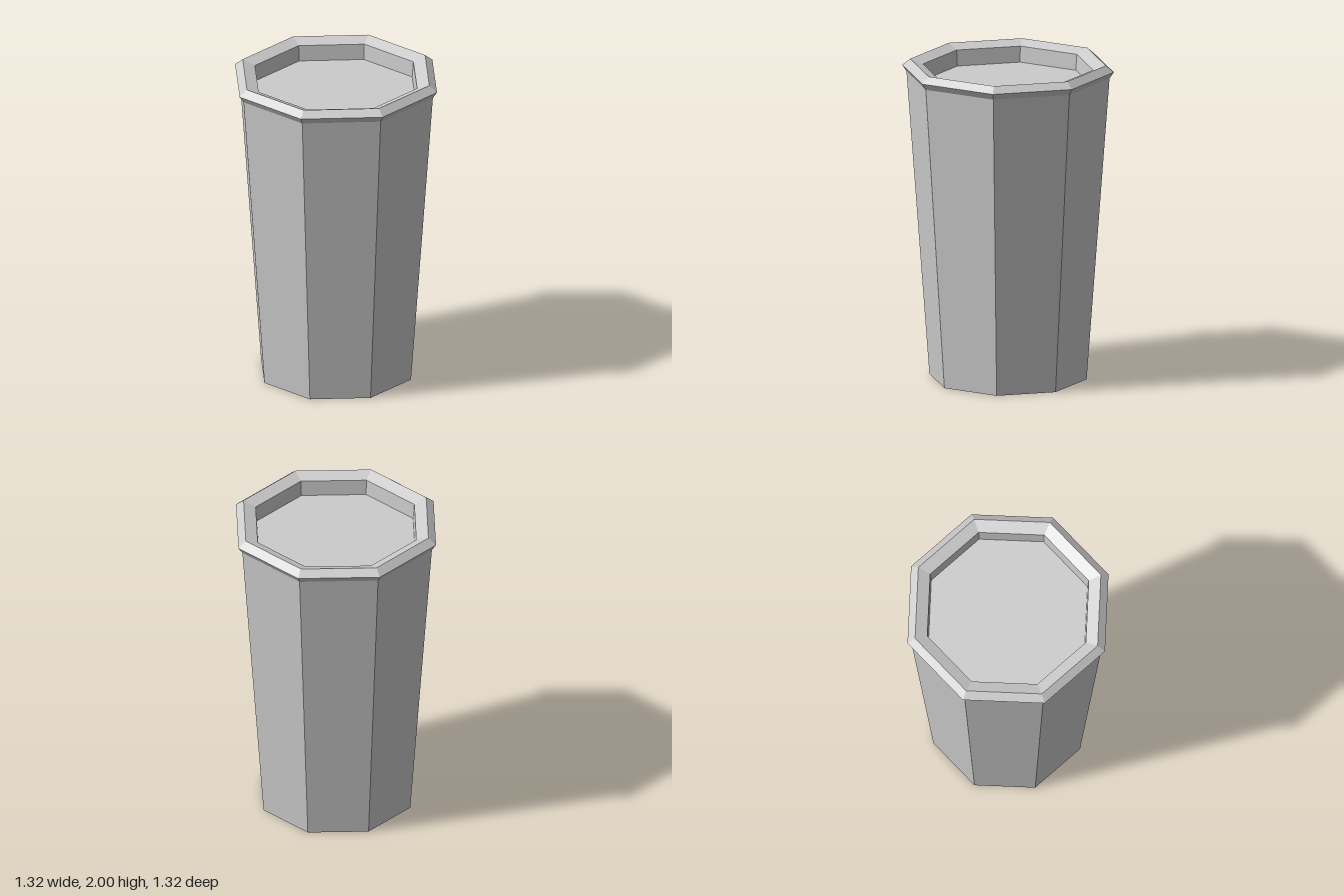
import * as THREE from 'three';

const SIDES = 8;
const material = new THREE.MeshStandardMaterial({ color: 0xcccccc, flatShading: true });

// Eight-sided turned part from a profile of [radius, height] pairs
function turned(name, profile) {
  const points = profile.map(([r, y]) => new THREE.Vector2(r, y));
  const mesh = new THREE.Mesh(new THREE.LatheGeometry(points, SIDES), material);
  mesh.name = name;
  return mesh;
}

// Flat eight-sided panel facing up or down
function panel(name, radius, y, facing) {
  const geometry = new THREE.CircleGeometry(radius, SIDES);
  geometry.rotateX(-facing * Math.PI / 2);
  const mesh = new THREE.Mesh(geometry, material);
  mesh.position.y = y;
  mesh.name = name;
  return mesh;
}

export function createModel() {
  const cup = new THREE.Group();
  cup.name = 'cup';
  cup.add(
    // Recessed underside with its foot ring
    panel('recessedBase', 0.38, 0.06, -1),
    turned('footRing', [[0.38, 0.06], [0.40, 0], [0.49, 0]]),
    // Tapered outer wall
    turned('body', [[0.49, 0], [0.633, 1.92]]),
    // Flared lip, sloping inwards on top
    turned('rim', [[0.633, 1.92], [0.66, 1.96], [0.61, 2], [0.53, 1.97]]),
    // Short inner wall down to the contents
    turned('innerWall', [[0.53, 1.97], [0.522, 1.87]]),
    panel('contentsSurface', 0.522, 1.87, 1),
  );
  return cup;
}
